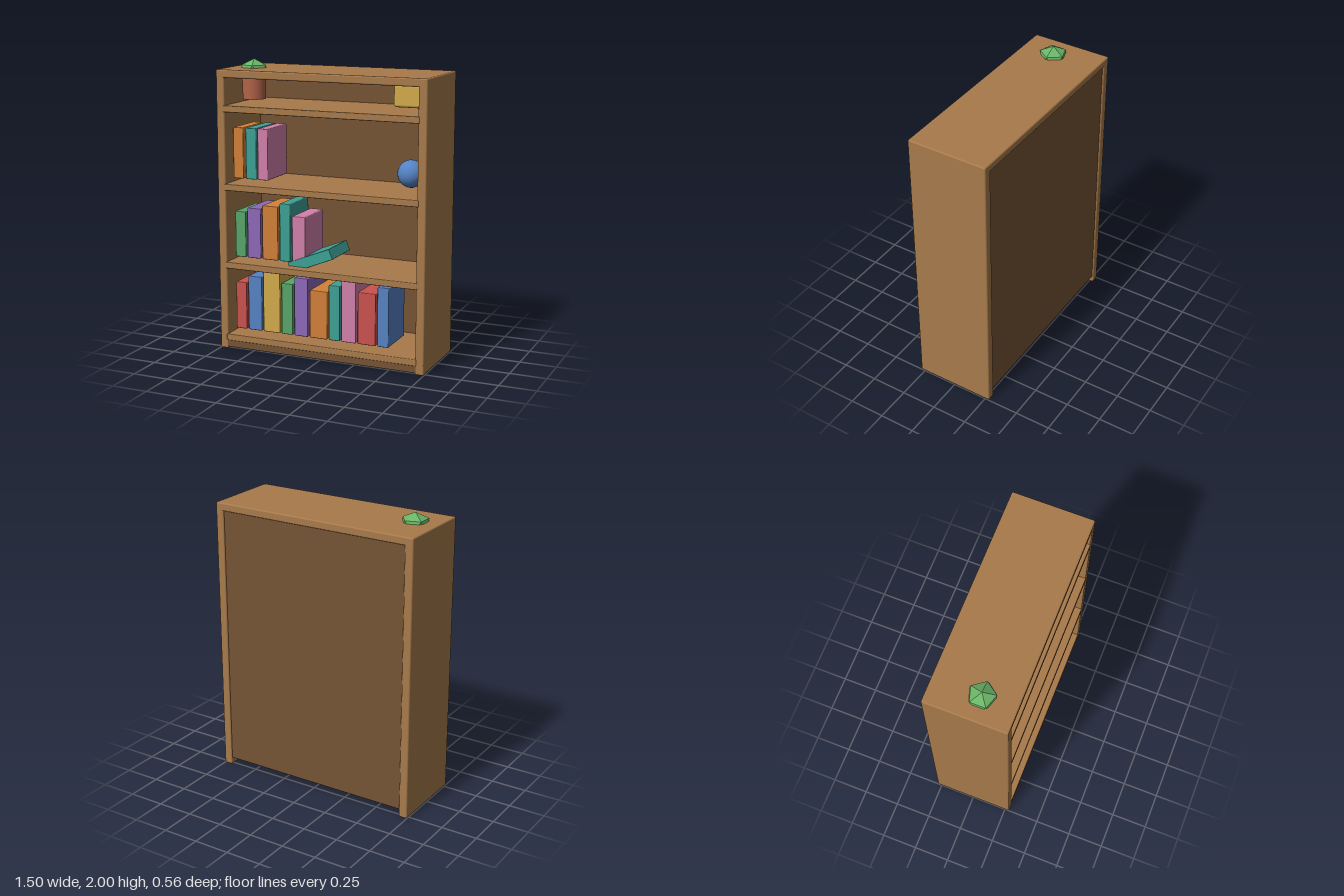
import * as THREE from 'three';
import { RoundedBoxGeometry } from 'three/addons/geometries/RoundedBoxGeometry.js';

const C = {
  wood: 0xa87a4b, dark: 0x765435, red: 0xca524e, blue: 0x5583c4, yellow: 0xd2ab4c, green: 0x58a66a,
  purple: 0x8d69b9, orange: 0xd28139, teal: 0x3da195, pink: 0xd181a9, pot: 0xb4654a, leaf: 0x6ab568,
};
const mats = {};
for (const k in C) mats[k] = new THREE.MeshStandardMaterial({ color: C[k], flatShading: k === 'leaf' });

function add(parent, name, geometry, color, x, y, z) {
  const m = new THREE.Mesh(geometry, mats[color]);
  m.name = name;
  m.position.set(x, y, z);
  parent.add(m);
  return m;
}

// Softened box given by its extents on each axis
function box(parent, name, color, [x0, x1], [y0, y1], [z0, z1], r = 0.008) {
  const g = new RoundedBoxGeometry(x1 - x0, y1 - y0, z1 - z0, 2, r);
  return add(parent, name, g, color, (x0 + x1) / 2, (y0 + y1) / 2, (z0 + z1) / 2);
}

export function createModel() {
  const model = new THREE.Group();
  model.name = 'bookcase';

  // Case
  const frame = new THREE.Group();
  frame.name = 'case';
  model.add(frame);
  box(frame, 'rightSide', 'wood', [-0.75, -0.69], [0, 1.94], [-0.28, 0.28], 0.01);
  box(frame, 'leftSide', 'wood', [0.69, 0.75], [0, 1.94], [-0.28, 0.28], 0.01);
  box(frame, 'topBoard', 'wood', [-0.75, 0.75], [1.885, 1.94], [-0.28, 0.28], 0.01);
  box(frame, 'backPanel', 'dark', [-0.7, 0.7], [0.05, 1.9], [-0.27, -0.25], 0.004);
  box(frame, 'plinth', 'dark', [-0.748, 0.748], [0.012, 0.08], [0.235, 0.278], 0.003);

  // Shelves with a front edge strip
  for (const y of [0.105, 0.62, 1.165, 1.7]) {
    box(frame, 'shelf', 'wood', [-0.7, 0.7], [y - 0.045, y], [-0.26, 0.27], 0.006);
    box(frame, 'shelfEdge', 'wood', [-0.7, 0.7], [y - 0.045, y], [0.25, 0.283], 0.006);
  }

  // Books: colour, left edge, right edge, top
  const rows = [
    { base: 0.13, books: [
      ['red', -0.665, -0.585, 0.465], ['blue', -0.57, -0.467, 0.515], ['yellow', -0.455, -0.328, 0.565],
      ['green', -0.315, -0.232, 0.49], ['purple', -0.218, -0.118, 0.54], ['orange', -0.103, 0.025, 0.465],
      ['teal', 0.038, 0.118, 0.515], ['pink', 0.132, 0.235, 0.565], ['red', 0.25, 0.378, 0.49],
      ['blue', 0.392, 0.472, 0.54]] },
    { base: 0.645, books: [
      ['green', -0.663, -0.585, 0.965], ['purple', -0.57, -0.47, 0.995], ['orange', -0.457, -0.34, 1.02],
      ['teal', -0.325, -0.247, 1.045], ['pink', -0.232, -0.135, 0.965]] },
    { base: 1.195, books: [
      ['orange', -0.67, -0.595, 1.545], ['teal', -0.575, -0.497, 1.545], ['pink', -0.485, -0.41, 1.545]] },
  ];
  rows.forEach(({ base, books }) => {
    const row = new THREE.Group();
    row.name = 'bookRow';
    model.add(row);
    for (const [color, x0, x1, top] of books) box(row, 'book', color, [x0, x1], [base, top], [-0.1, 0.2], 0.006);
  });

  // Toppled book resting on the second shelf
  const fallen = add(model, 'fallenBook', new RoundedBoxGeometry(0.33, 0.075, 0.3, 2, 0.004), 'teal', -0.098, 0.668, 0.053);
  fallen.rotation.z = 0.384;

  // Ornaments
  add(model, 'ball', new THREE.SphereGeometry(0.092, 20, 14), 'blue', 0.565, 1.29, 0.05);
  box(model, 'trinketBox', 'yellow', [0.465, 0.665], [1.73, 1.88], [-0.03, 0.13], 0.018);

  // Potted plant poking through the top board
  add(model, 'pot', new THREE.CylinderGeometry(0.083, 0.079, 0.145, 20), 'pot', -0.58, 1.8, 0.05);
  const leaves = new THREE.IcosahedronGeometry(0.1, 0);
  leaves.rotateZ(-Math.atan(2 / (1 + Math.sqrt(5))));
  leaves.scale(1, 0.76, 1);
  add(model, 'foliage', leaves, 'leaf', -0.58, 1.924, 0.047);

  return model;
}
